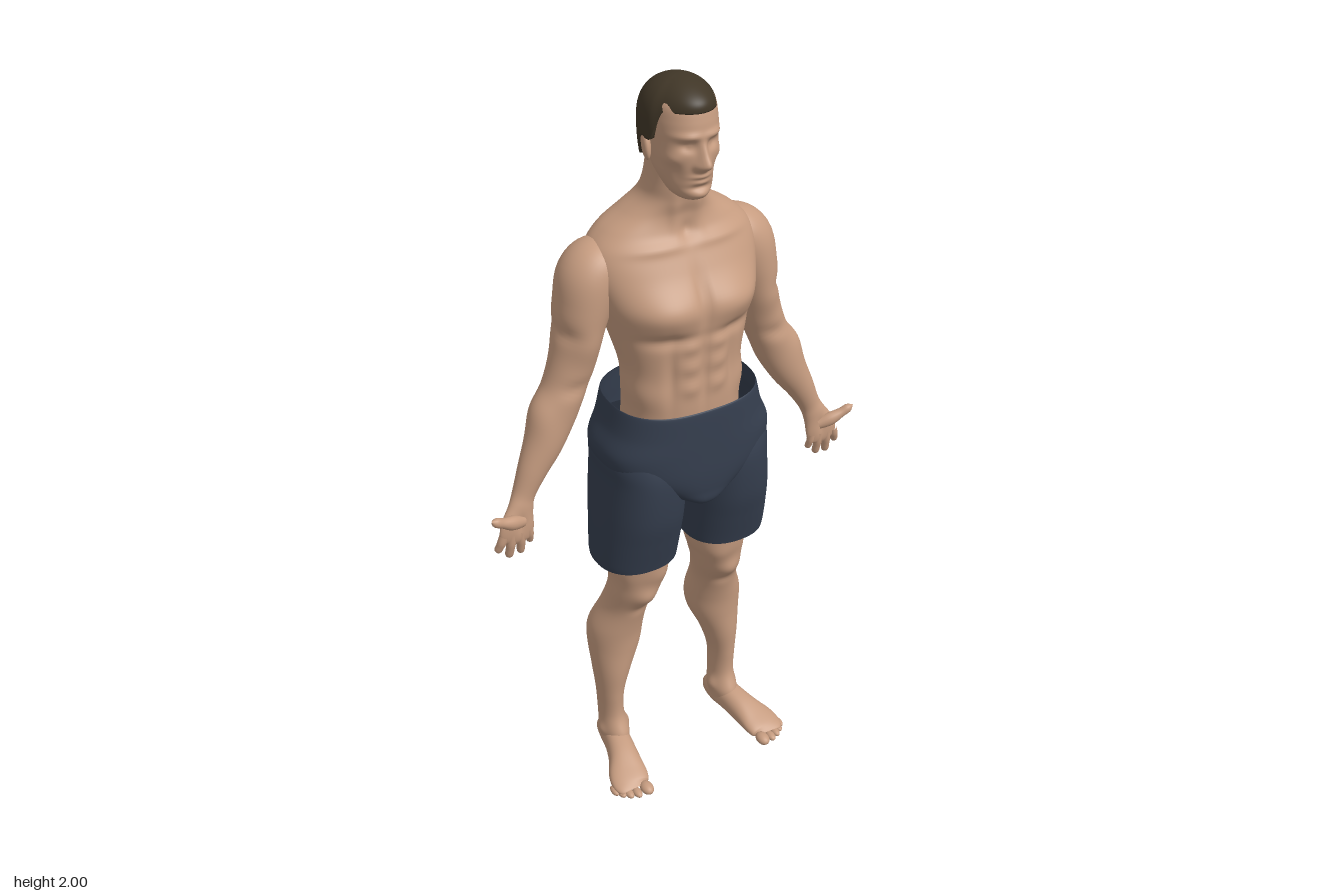
import * as THREE from 'three';

const skin = new THREE.MeshStandardMaterial({ color: 0xc69c80 });
skin.name = 'skin';
const cloth = new THREE.MeshStandardMaterial({ color: 0x353e4e, side: THREE.DoubleSide });
cloth.name = 'shorts cloth';
const hairBrown = new THREE.MeshStandardMaterial({ color: 0x403627, side: THREE.DoubleSide });
hairBrown.name = 'brown hair';

const Y = new THREE.Vector3(0, 1, 0), Z = new THREE.Vector3(0, 0, 1);

// Smooth interpolation through rows of numbers, f from 0 to 1
function sample(rows, f) {
  const t = f * (rows.length - 1), i = Math.min(Math.floor(t), rows.length - 2), k = t - i;
  const at = n => rows[Math.max(0, Math.min(rows.length - 1, n))];
  const [a, b, c, d] = [at(i - 1), at(i), at(i + 1), at(i + 2)];
  return b.map((_, n) => 0.5 * (2 * b[n] + (c[n] - a[n]) * k
    + (2 * a[n] - 5 * b[n] + 4 * c[n] - d[n]) * k * k
    + (3 * b[n] - a[n] - 3 * c[n] + d[n]) * k * k * k));
}

// Closed rings of points joined into a surface; side -1 mirrors it
function skinRings(rings, side = 1) {
  const n = rings[0].length, pos = [], idx = [];
  rings.forEach(r => r.forEach(p => pos.push(p.x * side, p.y, p.z)));
  for (let j = 0; j < rings.length - 1; j++) for (let i = 0; i < n; i++) {
    const a = j * n + i, b = j * n + (i + 1) % n, c = a + n, d = b + n;
    if (side > 0) idx.push(a, b, d, a, d, c); else idx.push(a, d, b, a, c, d);
  }
  const g = new THREE.BufferGeometry();
  g.setAttribute('position', new THREE.Float32BufferAttribute(pos, 3));
  g.setIndex(idx);
  g.computeVertexNormals();
  return g;
}

// Loft through sections [x, y, z, width, front, back]; bumps are muscles and
// hollows [x, y, z, rx, ry, rz, amount] pushed out from the section centre
function loft(rows, { ref = Z, axis, power = 2, bumps = [], side = 1, rings = 60, segs = 48 } = {}) {
  const out = [];
  for (let j = 0; j <= rings; j++) {
    const f = j / rings, s = sample(rows, f);
    const c = new THREE.Vector3(s[0], s[1], s[2]);
    const t = axis ? axis.clone() : new THREE.Vector3(...sample(rows, Math.min(1, f + 0.01)).slice(0, 3))
      .sub(new THREE.Vector3(...sample(rows, Math.max(0, f - 0.01)).slice(0, 3))).normalize();
    const u = ref.clone().cross(t).normalize(), v = t.clone().cross(u), ring = [];
    for (let i = 0; i < segs; i++) {
      const a = i / segs * Math.PI * 2, ca = Math.cos(a), sa = Math.sin(a);
      const e = q => Math.sign(q) * Math.pow(Math.abs(q), 2 / power);
      const off = u.clone().multiplyScalar(e(ca) * Math.max(0.001, s[3]))
        .addScaledVector(v, e(sa) * Math.max(0.001, sa > 0 ? s[4] : s[5]));
      const p = c.clone().add(off);
      let push = 0;
      for (const [x, y, z, rx, ry, rz, amt] of bumps)
        push += amt * Math.exp(-(((Math.abs(p.x) - x) / rx) ** 2) - ((p.y - y) / ry) ** 2 - ((p.z - z) / rz) ** 2);
      ring.push(p.addScaledVector(off.normalize(), push));
    }
    out.push(ring);
  }
  return skinRings(out, side);
}

// Level section: height, centre x, half width, front z, back z
const level = ([y, x, w, f, b]) => [x, y, (f + b) / 2, w, (f - b) / 2, (f - b) / 2];

function add(parent, name, geometry, material) {
  const m = new THREE.Mesh(geometry, material);
  m.name = name;
  parent.add(m);
  return m;
}

function ball(parent, name, p, r) {
  const m = add(parent, name, new THREE.SphereGeometry(1, 20, 14), skin);
  m.position.set(...p);
  m.scale.set(...r);
  return m;
}

function buildTorso(body) {
  const rows = [
    [0.95, 0, 0.15, 0.10, -0.11], [1.12, 0, 0.152, 0.122, -0.112], [1.2, 0, 0.15, 0.128, -0.112],
    [1.28, 0, 0.152, 0.126, -0.113], [1.36, 0, 0.17, 0.127, -0.13], [1.42, 0, 0.187, 0.13, -0.148],
    [1.48, 0, 0.205, 0.125, -0.163], [1.55, 0, 0.22, 0.092, -0.17], [1.60, 0, 0.212, 0.065, -0.165],
    [1.64, 0, 0.175, 0.042, -0.155], [1.675, 0, 0.12, 0.036, -0.14], [1.71, 0, 0.08, 0.045, -0.118],
    [1.75, 0, 0.068, 0.052, -0.098], [1.82, 0, 0.064, 0.055, -0.08]].map(level);
  const bumps = [
    [0.085, 1.47, 0.12, 0.08, 0.05, 0.07, 0.022], [0, 1.49, 0.12, 0.013, 0.07, 0.06, -0.012], // chest
    [0.09, 1.395, 0.12, 0.07, 0.018, 0.06, -0.012],
    [0, 1.3, 0.13, 0.009, 0.1, 0.05, -0.008],                                                // belly line
    ...[1.375, 1.318, 1.26].map(y => [0.036, y, 0.13, 0.025, 0.022, 0.05, 0.008]),           // abdominals
    [0.085, 1.3, 0.11, 0.014, 0.09, 0.05, -0.007], [0.13, 1.24, 0.06, 0.05, 0.04, 0.08, 0.008],
    [0, 1.44, -0.16, 0.018, 0.18, 0.07, -0.022], [0.035, 1.28, -0.12, 0.028, 0.1, 0.06, 0.01], // spine
    [0.11, 1.53, -0.16, 0.05, 0.07, 0.07, 0.018], [0.13, 1.40, -0.12, 0.05, 0.07, 0.07, 0.012], // back
    [0.09, 1.61, 0.06, 0.08, 0.013, 0.05, 0.007], [0, 1.635, 0.04, 0.018, 0.02, 0.04, -0.01], // collar bones
    [0.03, 1.68, 0.045, 0.014, 0.05, 0.04, 0.006]];
  add(body, 'torso', loft(rows, { axis: Y, power: 2.3, bumps, rings: 110, segs: 128 }), skin);
}

function buildHead(body) {
  const head = new THREE.Group();
  head.name = 'head';
  body.add(head);
  const rows = [
    [1.728, 0, 0.012, 0.075, 0.03], [1.735, 0, 0.034, 0.094, 0.0], [1.752, 0, 0.05, 0.103, -0.03],
    [1.785, 0, 0.064, 0.104, -0.055], [1.82, 0, 0.071, 0.108, -0.075], [1.87, 0, 0.076, 0.110, -0.09],
    [1.92, 0, 0.077, 0.106, -0.095], [1.96, 0, 0.068, 0.09, -0.08], [1.985, 0, 0.03, 0.04, -0.03]].map(level);
  const bumps = [
    [0, 1.825, 0.115, 0.014, 0.018, 0.04, 0.028], [0, 1.85, 0.112, 0.01, 0.025, 0.04, 0.014], // nose
    [0.013, 1.82, 0.11, 0.009, 0.01, 0.03, 0.007],
    [0.032, 1.866, 0.1, 0.018, 0.012, 0.04, -0.013], [0.03, 1.889, 0.1, 0.03, 0.009, 0.04, 0.007], // eyes, brow
    [0.03, 1.866, 0.1, 0.009, 0.006, 0.04, 0.004], [0.055, 1.835, 0.07, 0.016, 0.016, 0.03, 0.006],
    [0, 1.793, 0.11, 0.022, 0.006, 0.03, 0.007], [0, 1.779, 0.11, 0.019, 0.006, 0.03, 0.006], // lips
    [0, 1.765, 0.11, 0.03, 0.007, 0.03, -0.006], [0, 1.747, 0.1, 0.02, 0.011, 0.03, 0.006],
    [0.05, 1.80, 0.075, 0.015, 0.03, 0.03, -0.005]];
  add(head, 'face', loft(rows, { axis: Y, power: 2.25, bumps, rings: 100, segs: 128 }), skin);
  for (const s of [1, -1]) {
    const ear = ball(head, 'ear', [s * 0.081, 1.848, -0.005], [0.011, 0.036, 0.021]);
    ear.rotation.set(-0.2, s * 0.35, 0);
  }

  // Hair cap with a hairline that is high in front and low at the nape
  const rings = [], n = 96, rowsUp = 32;
  for (let j = -1; j <= rowsUp; j++) {
    const ring = [];
    for (let i = 0; i < n; i++) {
      const a = -i / n * Math.PI * 2, ca = Math.cos(a), sa = Math.sin(a);
      const front = THREE.MathUtils.smoothstep(sa, 0.22, 0.5), back = THREE.MathUtils.smoothstep(-sa, 0.05, 0.7);
      const low = 1.868 + 0.073 * front - 0.066 * back;
      const q = Math.max(0, j) / rowsUp;
      const y = low + (2.0 - low) * Math.sin(q * Math.PI / 2);
      const h = y > 1.89 ? (y - 1.89) / 0.11 : (1.89 - y) / 0.22;
      let r = Math.sqrt(Math.max(0, 1 - Math.pow(Math.min(1, h), y > 1.89 ? 2.6 : 2)));
      if (j < 0) r *= 0.86;
      const quiff = 0.016 * front * Math.exp(-(((y - 1.965) / 0.03) ** 2)) * sa;
      ring.push(new THREE.Vector3(ca * r * (0.091 - 0.008 * front), y, sa * r * 0.107 + quiff));
    }
    rings.push(ring.reverse());
  }
  rings.forEach(r => r.reverse());
  rings.reverse();
  add(head, 'hair', skinRings(rings), hairBrown);
}

function buildArm(body, side) {
  const arm = new THREE.Group();
  arm.name = side > 0 ? 'leftArm' : 'rightArm';
  body.add(arm);
  const rows = [
    [0.13, 1.56, -0.06, 0.03, 0.03, 0.03], [0.17, 1.56, -0.06, 0.065, 0.072, 0.075],
    [0.21, 1.53, -0.055, 0.078, 0.082, 0.085], [0.235, 1.46, -0.05, 0.067, 0.078, 0.085],
    [0.25, 1.39, -0.05, 0.058, 0.066, 0.075], [0.268, 1.32, -0.05, 0.056, 0.06, 0.065],
    [0.295, 1.25, -0.05, 0.054, 0.058, 0.058], [0.325, 1.19, -0.048, 0.058, 0.054, 0.054],
    [0.36, 1.12, -0.04, 0.05, 0.047, 0.047], [0.395, 1.06, -0.033, 0.039, 0.036, 0.037],
    [0.425, 1.0, -0.028, 0.03, 0.026, 0.029], [0.44, 0.965, -0.02, 0.034, 0.022, 0.022],
    [0.455, 0.925, -0.012, 0.045, 0.018, 0.018], [0.462, 0.888, -0.01, 0.043, 0.013, 0.013],
    [0.464, 0.872, -0.01, 0.02, 0.006, 0.006]];
  const bumps = [
    [0.25, 1.38, 0.02, 0.04, 0.05, 0.04, 0.010], [0.26, 1.40, -0.12, 0.05, 0.06, 0.04, 0.008], // upper arm
    [0.29, 1.41, -0.04, 0.03, 0.02, 0.06, -0.008], [0.285, 1.27, 0.01, 0.04, 0.02, 0.04, -0.008],
    [0.29, 1.26, -0.11, 0.02, 0.02, 0.03, 0.007], [0.37, 1.2, -0.04, 0.03, 0.05, 0.05, 0.007],
    [0.45, 0.93, 0.006, 0.015, 0.025, 0.02, -0.006]];
  add(arm, 'armAndPalm', loft(rows, { bumps, side, rings: 90 }), skin);

  // Fingers: base x, tip x, tip y, thickness
  for (const [bx, tx, ty, r] of [[0.427, 0.422, 0.858, 0.0105], [0.450, 0.449, 0.832, 0.012],
    [0.474, 0.482, 0.829, 0.0125], [0.495, 0.512, 0.856, 0.012]]) {
    const p = k => [bx + (tx - bx) * k, 0.905 + (ty - 0.905) * k, -0.008 - 0.012 * k * k];
    add(arm, 'finger', loft([[...p(0), r, r, r], [...p(0.35), r, r, r], [...p(0.6), r * 0.9, r * 0.9, r * 0.9],
      [...p(0.9), r * 0.8, r * 0.8, r * 0.8], [...p(1), 0.001, 0.001, 0.001]], { side, rings: 16, segs: 14 }), skin);
  }
  add(arm, 'thumb', loft([[0.445, 0.935, -0.005, 0.015, 0.015, 0.015], [0.475, 0.947, 0.006, 0.019, 0.017, 0.017],
    [0.505, 0.962, 0.014, 0.013, 0.013, 0.013], [0.525, 0.974, 0.019, 0.012, 0.011, 0.011],
    [0.537, 0.982, 0.022, 0.001, 0.001, 0.001]], { side, rings: 20, segs: 16 }), skin);
}

function buildLeg(body, side) {
  const leg = new THREE.Group();
  leg.name = side > 0 ? 'leftLeg' : 'rightLeg';
  body.add(leg);
  const rows = [
    [0.9, 0.115, 0.085, 0.10, -0.11], [0.72, 0.117, 0.081, 0.082, -0.108], [0.65, 0.122, 0.07, 0.066, -0.102],
    [0.6, 0.13, 0.065, 0.055, -0.1], [0.53, 0.142, 0.062, 0.022, -0.122], [0.45, 0.157, 0.073, 0.002, -0.148],
    [0.38, 0.163, 0.07, -0.006, -0.152], [0.30, 0.176, 0.052, -0.01, -0.138], [0.22, 0.184, 0.037, -0.018, -0.122],
    [0.14, 0.184, 0.034, -0.02, -0.116], [0.08, 0.182, 0.038, 0.005, -0.115],
    [0.03, 0.182, 0.033, -0.005, -0.11]].map(level);
  const bumps = [
    [0.128, 0.6, 0.055, 0.03, 0.03, 0.04, 0.01], [0.09, 0.67, 0.05, 0.03, 0.04, 0.04, 0.009],  // knee
    [0.13, 0.545, 0.03, 0.03, 0.018, 0.03, -0.006], [0.17, 0.66, 0.04, 0.03, 0.04, 0.04, 0.005],
    [0.105, 0.43, -0.11, 0.035, 0.07, 0.05, 0.010], [0.21, 0.44, -0.1, 0.035, 0.07, 0.05, 0.006], // calf
    [0.157, 0.4, -0.15, 0.012, 0.07, 0.04, -0.006],
    [0.146, 0.095, -0.055, 0.02, 0.02, 0.02, 0.008], [0.222, 0.085, -0.06, 0.02, 0.02, 0.02, 0.008]]; // ankle
  add(leg, 'leg', loft(rows, { axis: Y.clone().negate(), bumps, side, rings: 90, segs: 64 }), skin);

  const foot = [
    [0.18, 0.038, -0.127, 0.006, 0.006, 0.006], [0.18, 0.04, -0.117, 0.026, 0.028, 0.026],
    [0.182, 0.045, -0.07, 0.036, 0.05, 0.037], [0.19, 0.045, -0.015, 0.038, 0.046, 0.035],
    [0.202, 0.036, 0.04, 0.044, 0.042, 0.026], [0.217, 0.029, 0.09, 0.054, 0.027, 0.022],
    [0.225, 0.022, 0.125, 0.051, 0.018, 0.016], [0.225, 0.019, 0.145, 0.035, 0.008, 0.008]];
  add(leg, 'foot', loft(foot, { ref: Y, power: 2.3, side, rings: 40, segs: 40 }), skin);
  [[0.193, 0.155, 0.018], [0.222, 0.153, 0.012], [0.243, 0.144, 0.0115], [0.26, 0.131, 0.011], [0.273, 0.115, 0.011]]
    .forEach(([x, z, r]) => ball(leg, 'toe', [side * x, r * 0.85 + 0.005, z], [r, r * 0.85, r * 0.75 + 0.012]));
}

function buildShorts(body) {
  const shorts = new THREE.Group();
  shorts.name = 'shorts';
  body.add(shorts);
  const hips = [
    [1.204, 0, 0.193, 0.153, -0.153], [1.195, 0, 0.196, 0.157, -0.157], [1.14, 0, 0.21, 0.16, -0.161],
    [1.08, 0, 0.233, 0.162, -0.164], [1.02, 0, 0.213, 0.163, -0.163], [0.97, 0, 0.14, 0.16, -0.16],
    [0.93, 0, 0.06, 0.152, -0.154], [0.9, 0, 0.012, 0.10, -0.10]].map(level);
  add(shorts, 'hips', loft(hips, { axis: Y.clone().negate(), power: 2.6, rings: 50, segs: 80,
    bumps: [[0, 1.0, -0.16, 0.02, 0.08, 0.05, -0.008]] }), cloth);
  const legRows = [
    [1.12, 0.115, 0.09, 0.12, -0.12], [1.06, 0.12, 0.107, 0.142, -0.145], [1.0, 0.121, 0.107, 0.151, -0.153],
    [0.9, 0.126, 0.111, 0.144, -0.147], [0.82, 0.13, 0.113, 0.125, -0.132], [0.75, 0.133, 0.113, 0.106, -0.122],
    [0.727, 0.133, 0.111, 0.10, -0.118]].map(level);
  for (const side of [1, -1])
    add(shorts, 'trouserLeg', loft(legRows, { axis: Y.clone().negate(), power: 2.3, side, rings: 40, segs: 56 }), cloth);
}

export function createModel() {
  const body = new THREE.Group();
  body.name = 'standingMan';
  buildTorso(body);
  buildHead(body);
  for (const side of [1, -1]) {
    buildArm(body, side);
    buildLeg(body, side);
  }
  buildShorts(body);
  body.position.x = 0.005;
  const model = new THREE.Group();
  model.name = 'figure';
  model.add(body);
  return model;
}
